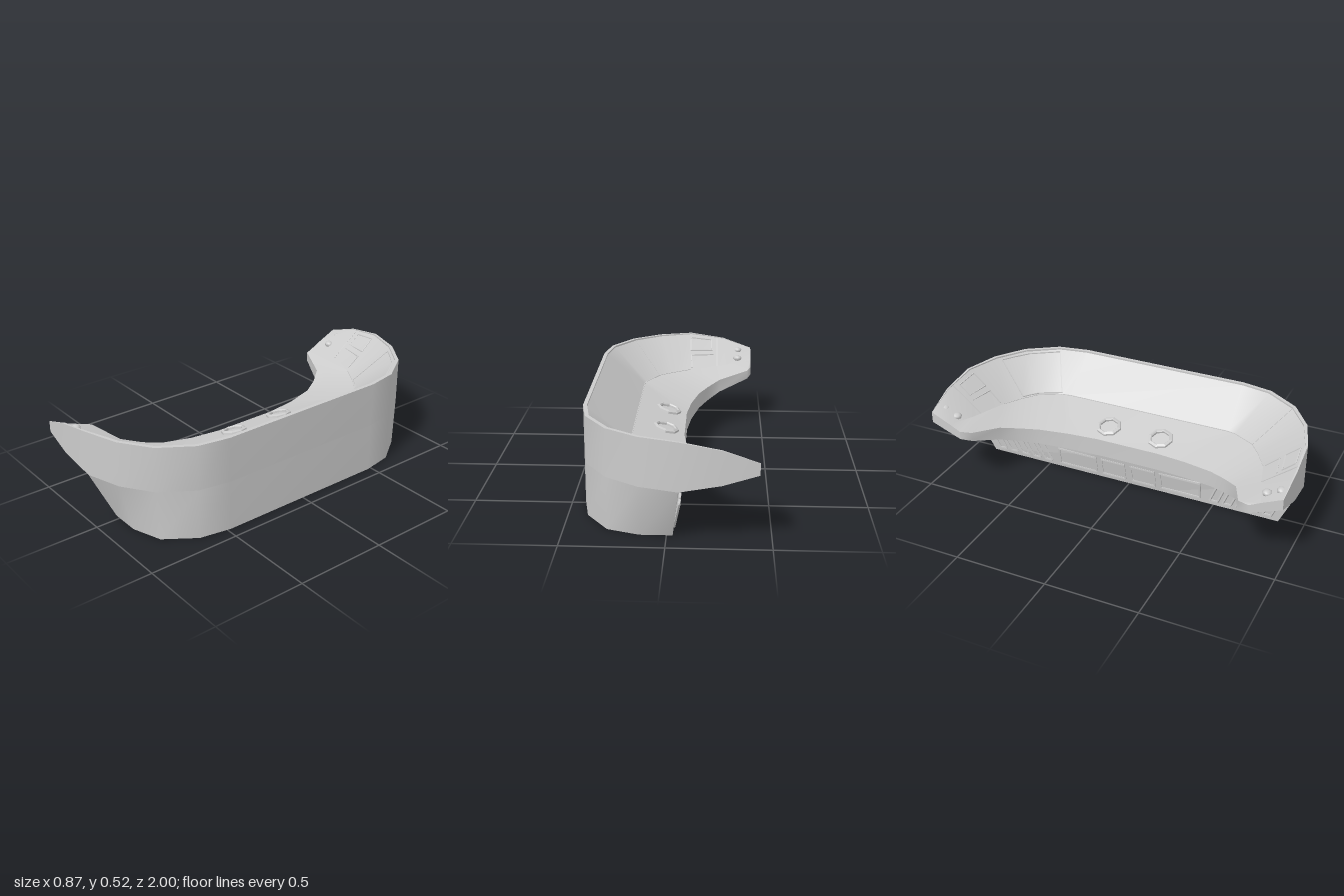
import * as THREE from 'three';

const smooth = new THREE.MeshStandardMaterial({ color: 0xcccccc, side: THREE.DoubleSide });
const flat = new THREE.MeshStandardMaterial({ color: 0xcccccc, side: THREE.DoubleSide, flatShading: true });
const V = (x, y, z) => new THREE.Vector3(x, y, z);

// Stations from the middle of the console out to the arm tip
const innerTop = [V(-.06, .257, .18), V(-.08, .26, .35), V(-.12, .268, .51), V(-.17, .28, .6), V(-.24, .3, .69), V(-.41, .34, .76), V(-.432, .345, .82)];
const crease = [V(.2, .333, .48), V(.19, .333, .53), V(.12, .337, .65), V(.04, .338, .71), V(-.06, .34, .77), V(-.28, .357, .83), V(-.432, .375, .88)];
const outerTop = [V(.433, .52, .48), V(.402, .52, .65), V(.29, .52, .82), V(.13, .52, .93), V(-.06, .518, .99), V(-.26, .485, 1), V(-.432, .425, .99)];
const lowerY = [.275, .275, .275, .275, .275, .315, .365];
const rimWidth = [.02, .02, .02, .018, .014, .008, .002];
const foot = [V(.433, 0, .48), V(.402, 0, .65), V(.29, 0, .81), V(.13, 0, .865), V(-.03, 0, .865)];

const innerLow = innerTop.map(p => V(p.x, .155 + (-.06 - p.x) * .386, p.z));
const outerLow = outerTop.map((p, i) => V(p.x, lowerY[i], p.z));
const rim = outerTop.map((p, i) => crease[i].clone().sub(p).setY(0).setLength(rimWidth[i]).add(p));
const rimDrop = rim.map((p, i) => V(p.x, p.y - rimWidth[i] * .45, p.z));

const flip = p => V(p.x, p.y, -p.z);
const full = row => [...row.map(flip).reverse(), ...row];

// Surface strip between two rows of points
function strip(name, a, b, material = smooth) {
  const pos = [], idx = [], n = a.length;
  [...a, ...b].forEach(p => pos.push(p.x, p.y, p.z));
  for (let i = 0; i < n - 1; i++) idx.push(i, n + i, i + 1, i + 1, n + i, n + i + 1);
  const g = new THREE.BufferGeometry();
  g.setAttribute('position', new THREE.Float32BufferAttribute(pos, 3));
  g.setIndex(idx);
  g.computeVertexNormals();
  const m = new THREE.Mesh(g, material);
  m.name = name;
  return m;
}

// Thin raised trim along a polyline
function trim(name, points, w = .006, closed = false) {
  const group = new THREE.Group();
  group.name = name;
  const pts = closed ? [...points, points[0]] : points;
  for (let i = 0; i < pts.length - 1; i++) {
    const bar = new THREE.Mesh(new THREE.BoxGeometry(w, w, pts[i].distanceTo(pts[i + 1]) + w * .5), flat);
    bar.position.lerpVectors(pts[i], pts[i + 1], .5);
    bar.lookAt(pts[i + 1]);
    bar.name = 'trimBar';
    group.add(bar);
  }
  return group;
}

// Point on the sloped back panel: station s, height fraction v
function onPanel(s, v) {
  const i = Math.min(Math.floor(s), crease.length - 2), f = s - i;
  const low = crease[i].clone().lerp(crease[i + 1], f);
  return low.lerp(rimDrop[i].clone().lerp(rimDrop[i + 1], f), v);
}

// Frame that follows the panel from station s0 to s1
function panelFrame(s0, s1, v0, v1) {
  const pts = [], n = 4;
  for (let i = 0; i <= n; i++) pts.push(onPanel(s0 + (s1 - s0) * i / n, v0));
  for (let i = n; i >= 0; i--) pts.push(onPanel(s0 + (s1 - s0) * i / n, v1));
  return pts;
}

// Point on the leaning front wall
const onFront = (y, z) => V(-.029 - y * .19, y, z);

export function createModel() {
  const root = new THREE.Group();
  root.name = 'curvedConsole';

  // Main shell
  root.add(
    strip('baseWall', full(foot), full(outerLow.slice(0, 5))),
    strip('outerWall', full(outerLow), full(outerTop)),
    strip('rim', full(outerTop), full(rim)),
    strip('rimStep', full(rim), full(rimDrop)),
    strip('backPanel', full(rimDrop), full(crease)),
    strip('shelf', full(crease), full(innerTop)),
    strip('shelfEdge', full(innerTop), full(innerLow)),
  );

  // Underside of the arms and arm ends
  const underOuter = outerLow.map((p, i) => outerLow[Math.max(i, 4)]);
  for (const side of [1, -1]) {
    const order = row => side > 0 ? row : row.map(flip).reverse();
    root.add(strip('armUnderside', order(innerLow), order(underOuter)));
    const top = [innerTop, crease, rimDrop, rim, outerTop].map(row => row[6]);
    const low = top.map(p => innerLow[6].clone().lerp(outerLow[6], (p.z - .82) / .17));
    root.add(strip('armEnd', order(top), order(low), flat));
  }

  // Front wall and floor
  root.add(
    strip('frontWall', full([innerLow[0], outerLow[4]]), full([V(-.03, 0, .18), V(-.03, 0, .865)]), flat),
    strip('floor', full(foot.map(p => V(-.03, 0, p.z))), full(foot), flat),
  );

  // Seams and panel frames
  root.add(
    trim('creaseTrim', full(crease.slice(0, 5)), .004),
    trim('cornerSeam', [onPanel(2, 0), onPanel(2, 1)], .004),
    trim('cornerFrame', panelFrame(1, 2.85, .04, .95).map(flip), .006, true),
  );
  for (const side of [1, -1]) {
    const place = pts => side > 0 ? pts : pts.map(flip);
    root.add(
      trim('armSeam', place([onPanel(4.75, 0), onPanel(4.8, 1)]), .005),
      trim('upperFrame', place(panelFrame(4, 4.62, .54, .9)), .006, true),
      trim('lowerFrame', place([onPanel(4.05, .06), onPanel(4.02, .4), onPanel(4.65, .4)])),
    );

    // Arm studs
    for (const [y, z] of [[.385, .885], [.418, .956]]) {
      const stud = new THREE.Mesh(new THREE.SphereGeometry(.026, 8, 6), smooth);
      stud.name = 'stud';
      stud.scale.y = .7;
      stud.position.set(-.35, y, z * side);
      root.add(stud);
    }

    // Octagonal ring sockets
    const profile = [[.05, -.01], [.05, .008], [.056, .014], [.07, .008], [.072, -.01]].map(p => new THREE.Vector2(...p));
    const ring = new THREE.Mesh(new THREE.LatheGeometry(profile, 8), flat);
    ring.name = 'ringSocket';
    ring.position.set(.04, .289, .155 * side);
    ring.rotation.z = .28;
    root.add(ring);

    // Front wall windows and leaning slats
    for (const [z, w] of [[.09, .14], [.31, .23]]) {
      const c = [[.03, -w / 2], [.13, -w / 2], [.13, w / 2], [.03, w / 2]].map(([y, d]) => onFront(y, z + d));
      root.add(trim('frontWindow', place(c), .01, true));
    }
    for (let i = 0; i < 5; i++) {
      const z = .47 + i * .075;
      const c = [[.03, 0], [.17, 0], [.17, .045], [.03, .045]].map(([y, d]) => onFront(y, z + d + y * .4));
      root.add(trim('frontSlat', place(c), .01, true));
    }
  }
  return root;
}
